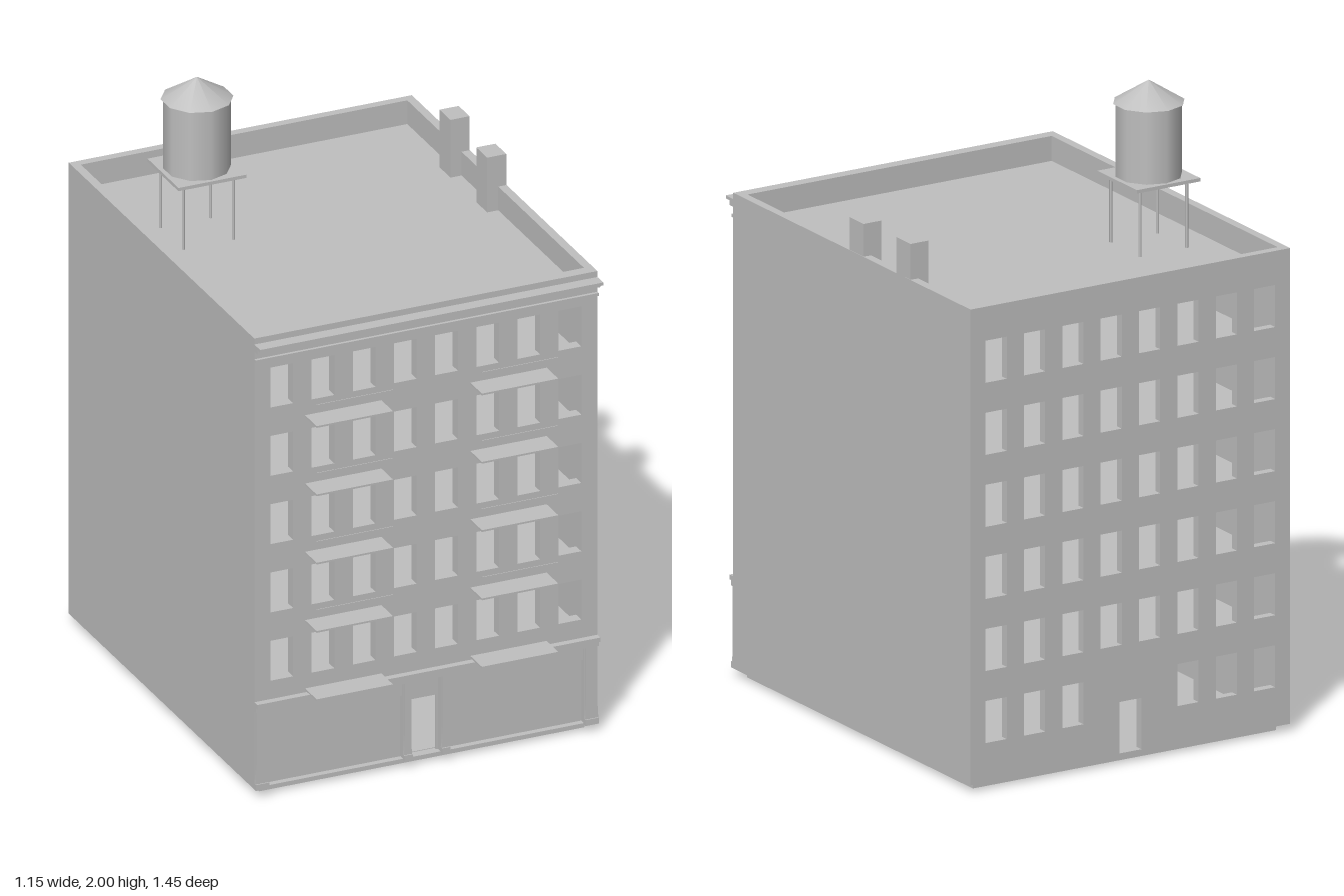
import * as THREE from 'three';

const grey = new THREE.MeshStandardMaterial({ color: 0xbfbfbf });
grey.name = 'plain grey';

const HX = 0.575, FRONT = 0.64, BACK = -0.725, BOTTOM = 0.025, TOP = 1.55, WALL = 0.028;
const STOREY = 0.231;
const COLS = [-0.483, -0.345, -0.207, -0.069, 0.069, 0.207, 0.345, 0.483];

function add(parent, name, geometry, x = 0, y = 0, z = 0) {
  const m = new THREE.Mesh(geometry, grey);
  m.name = name;
  m.position.set(x, y, z);
  parent.add(m);
  return m;
}

// box given by its lower and upper limits
function box(parent, name, x0, x1, y0, y1, z0, z1) {
  return add(parent, name, new THREE.BoxGeometry(x1 - x0, y1 - y0, z1 - z0),
    (x0 + x1) / 2, (y0 + y1) / 2, (z0 + z1) / 2);
}

// wall in the xy plane, with rectangular openings [x0, x1, y0, y1]
function piercedWall(parent, name, openings, z0, z1) {
  const rect = (T, x0, x1, y0, y1) => {
    const p = new T();
    p.moveTo(x0, y0); p.lineTo(x1, y0); p.lineTo(x1, y1); p.lineTo(x0, y1); p.closePath();
    return p;
  };
  const shape = rect(THREE.Shape, -HX, HX, BOTTOM, TOP);
  for (const o of openings) shape.holes.push(rect(THREE.Path, ...o));
  const g = new THREE.ExtrudeGeometry(shape, { depth: z1 - z0, bevelEnabled: false });
  return add(parent, name, g, 0, 0, z0);
}

const windowAt = (x, row) => {
  const y = 0.382 + row * STOREY;
  return [x - 0.038, x + 0.038, y, y + 0.135];
};

function buildShell(root) {
  const shell = new THREE.Group();
  shell.name = 'shell';
  root.add(shell);
  const front = [], back = [];
  for (let row = 0; row < 5; row++) {
    for (const x of COLS) {
      front.push(windowAt(x, row));
      back.push(windowAt(x, row));
    }
  }
  // shop fronts and entrance
  front.push([-0.53, -0.077, 0.03, 0.285], [0.077, 0.53, 0.03, 0.285], [-0.05, 0.05, 0.03, 0.285]);
  // ground floor at the rear, with a central door
  for (const x of COLS) if (Math.abs(x) > 0.1) back.push(windowAt(x, -1));
  back.push([-0.04, 0.04, 0.035, 0.2]);
  piercedWall(shell, 'frontWall', front, FRONT - 0.038, FRONT);
  piercedWall(shell, 'backWall', back, BACK, BACK + WALL);
  for (const s of [-1, 1]) {
    const xs = [s * HX, s * (HX - WALL)].sort((a, b) => a - b);
    box(shell, 'sideWall', xs[0], xs[1], BOTTOM, TOP, BACK, FRONT);
  }
  // floors and roof deck
  const ix = HX - WALL / 2, z0 = BACK + WALL / 2, z1 = FRONT - 0.03;
  box(shell, 'groundFloor', -ix, ix, BOTTOM, 0.032, z0, z1);
  for (let i = 0; i < 5; i++) {
    const y = 0.325 + i * STOREY;
    box(shell, 'floor', -ix, ix, y - 0.015, y, z0, z1);
  }
  box(shell, 'roofDeck', -ix, ix, 1.455, 1.47, z0, z1);
  box(shell, 'plinth', -0.545, 0.545, 0, BOTTOM, -0.69, 0.61);
}

function buildShopfront(root) {
  const shop = new THREE.Group();
  shop.name = 'shopfront';
  root.add(shop);
  for (const s of [-1, 1]) {
    const [a, b] = [s * 0.53, s * 0.077].sort((p, q) => p - q);
    box(shop, 'shopPanel', a, b, 0.03, 0.245, 0.612, 0.62);
    box(shop, 'shopSign', a, b, 0.24, 0.285, 0.612, 0.632);
  }
  box(shop, 'transom', -0.05, 0.05, 0.215, 0.285, 0.612, 0.62);
  for (const s of [-1, 1]) {
    box(shop, 'doorJamb', s * 0.0465 - 0.0035, s * 0.0465 + 0.0035, 0.03, 0.215, 0.612, 0.62);
  }
  // pilasters with flared feet
  for (const [x, w] of [[-0.5525, 0.039], [-0.0635, 0.022], [0.0635, 0.022], [0.5525, 0.039]]) {
    const h = w / 2, f = h + 0.003;
    const p = new THREE.Shape();
    p.moveTo(-f, BOTTOM);
    p.lineTo(f, BOTTOM);
    p.lineTo(f, 0.045);
    p.quadraticCurveTo(h, 0.07, h, 0.11);
    p.lineTo(h, 0.3);
    p.lineTo(-h, 0.3);
    p.lineTo(-h, 0.11);
    p.quadraticCurveTo(-h, 0.07, -f, 0.045);
    p.closePath();
    add(shop, 'pilaster', new THREE.ExtrudeGeometry(p, { depth: 0.008, bevelEnabled: false, curveSegments: 4 }), x, 0, FRONT);
    box(shop, 'pilasterFoot', x - f, x + f, BOTTOM, 0.045, FRONT, 0.652);
  }
  box(shop, 'shopCornice', -HX, HX, 0.305, 0.32, FRONT, 0.662);
  box(shop, 'shopCorniceBed', -HX, HX, 0.288, 0.305, FRONT, 0.652);
}

function buildCornice(root) {
  const c = new THREE.Group();
  c.name = 'cornice';
  root.add(c);
  box(c, 'corniceSlab', -HX, HX, 1.52, 1.53, FRONT, 0.683);
  box(c, 'corniceBed', -HX, HX, 1.505, 1.52, FRONT, 0.662);
  box(c, 'corniceFrieze', -HX, HX, 1.47, 1.48, FRONT, 0.65);
}

function buildFireEscapes(root) {
  for (const s of [-1, 1]) {
    const g = new THREE.Group();
    g.name = 'fireEscape';
    root.add(g);
    const x0 = s * 0.277 - 0.128, x1 = s * 0.277 + 0.128;
    for (let i = 0; i < 5; i++) {
      const y = 0.33 + i * STOREY;
      box(g, 'platform', x0, x1, y - 0.003, y + 0.003, FRONT, 0.725);
      if (i > 0) box(g, 'rail', x0, x1, y + 0.072, y + 0.075, 0.7225, 0.725);
    }
  }
}

function buildWaterTank(root) {
  const g = new THREE.Group();
  g.name = 'waterTank';
  g.position.set(-0.357, 0, -0.26);
  root.add(g);
  for (const x of [-0.084, 0.084]) {
    for (const z of [-0.084, 0.084]) {
      add(g, 'tankLeg', new THREE.CylinderGeometry(0.005, 0.005, 0.22, 8), x, 1.578, z);
    }
  }
  box(g, 'tankPlatform', -0.114, 0.114, 1.685, 1.696, -0.114, 0.114);
  add(g, 'tankBarrel', new THREE.CylinderGeometry(0.104, 0.104, 0.24, 10), 0, 1.815, 0);
  add(g, 'tankRoof', new THREE.ConeGeometry(0.112, 0.07, 10), 0, 1.965, 0);
}

export function createModel() {
  const root = new THREE.Group();
  root.name = 'apartmentBuilding';
  buildShell(root);
  buildShopfront(root);
  buildCornice(root);
  buildFireEscapes(root);
  buildWaterTank(root);
  // chimneys on the left parapet
  box(root, 'chimney', 0.51, 0.574, 1.46, 1.655, -0.108, -0.028);
  box(root, 'chimney', 0.51, 0.574, 1.46, 1.665, -0.378, -0.298);
  return root;
}
